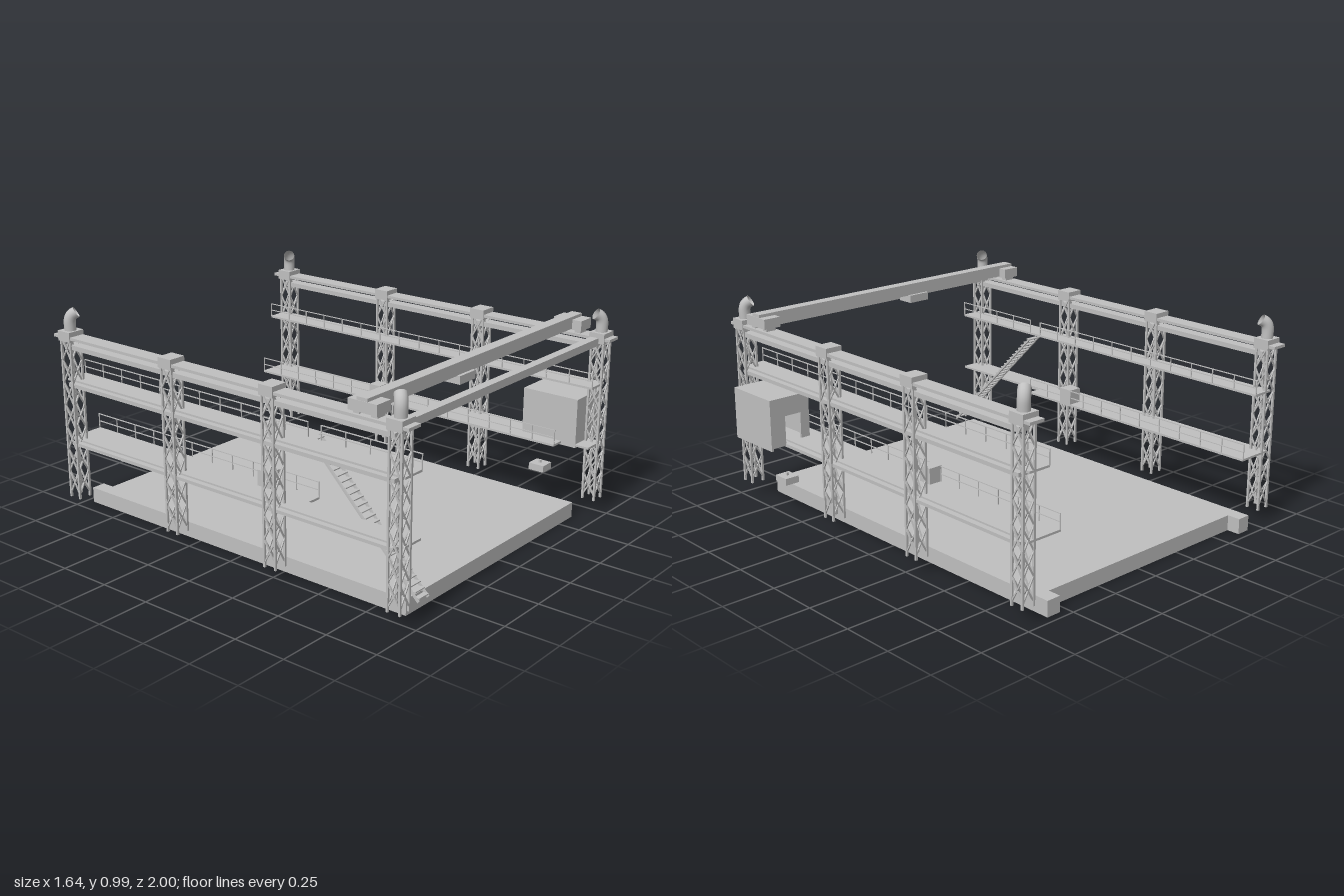
import * as THREE from 'three';

const steel = new THREE.MeshStandardMaterial({ color: 0xc0c0c0 });
steel.name = 'steel grey';
const steelOpen = steel.clone();
steelOpen.side = THREE.DoubleSide;

export function createModel() {
  const model = new THREE.Group();

  const group = (name, parent = model) => {
    const g = new THREE.Group();
    g.name = name;
    parent.add(g);
    return g;
  };
  // box given by its extents on each axis
  const box = (name, parent, x0, x1, y0, y1, z0, z1) => {
    const m = new THREE.Mesh(new THREE.BoxGeometry(Math.abs(x1 - x0), y1 - y0, Math.abs(z1 - z0)), steel);
    m.position.set((x0 + x1) / 2, (y0 + y1) / 2, (z0 + z1) / 2);
    m.name = name;
    parent.add(m);
    return m;
  };
  // square bar between two points
  const bar = (name, parent, a, b, t) => {
    const p = new THREE.Vector3(...a), q = new THREE.Vector3(...b);
    const m = new THREE.Mesh(new THREE.BoxGeometry(t, t, p.distanceTo(q)), steel);
    m.position.copy(p).add(q).multiplyScalar(0.5);
    m.lookAt(q);
    m.name = name;
    parent.add(m);
  };

  // floor slab with two blocks at the back corners
  const floor = group('floor');
  box('slab', floor, -0.677, 0.61, 0, 0.073, -0.9, 0.895);
  box('cornerBlock', floor, -0.677, -0.61, 0, 0.073, -0.963, -0.9);
  box('cornerBlock', floor, 0.54, 0.61, 0, 0.073, -0.963, -0.9);

  // lattice towers
  const towerX = [-0.782, 0.714];
  const towerZ = [0.935, 0.29, -0.285, -0.928];
  const Y0 = 0.075, Y1 = 0.85, PANELS = 7, H = 0.03;
  const buildTower = (cx, cz) => {
    const t = group('latticeTower');
    t.position.set(cx, 0, cz);
    const corners = [[-H, -H], [H, -H], [H, H], [-H, H]];
    corners.forEach(([x, z], i) => {
      box('leg', t, x - 0.005, x + 0.005, Y0, Y1, z - 0.005, z + 0.005);
      const [u, v] = corners[(i + 1) % 4];
      for (let k = 0; k < PANELS; k++) {
        const a = Y0 + 0.02 + (k * (Y1 - Y0 - 0.02)) / PANELS;
        const b = a + (Y1 - Y0 - 0.02) / PANELS;
        bar('brace', t, [x, a, z], [u, b, v], 0.006);
        bar('brace', t, [u, a, v], [x, b, z], 0.006);
      }
    });
    box('towerCap', t, -0.042, 0.042, 0.835, 0.882, -0.038, 0.038);
  };

  // ventilation cowl turned towards the middle
  const buildCowl = (cx, cz) => {
    const g = group('cowl');
    g.position.set(cx, 0, cz);
    const dx = -Math.sign(cx) * 0.75, dz = -Math.sign(cz) * 0.66;
    const path = new THREE.CatmullRomCurve3(
      [[0, 0.875], [0, 0.93], [0.01, 0.951], [0.03, 0.964]].map(([d, y]) => new THREE.Vector3(dx * d, y, dz * d)));
    const pipe = new THREE.Mesh(new THREE.TubeGeometry(path, 14, 0.027, 16), steelOpen);
    pipe.name = 'cowlPipe';
    g.add(pipe);
  };

  for (const x of towerX) {
    for (const z of towerZ) buildTower(x, z);
    for (const z of [towerZ[0], towerZ[3]]) buildCowl(x, z);
    // runway plate and long beams joining the towers
    box('runwayPlate', model, x - 0.038, x + 0.038, 0.847, 0.86, -1, 1);
    for (const [a, b] of [[0.8, 0.822], [0.62, 0.638], [0.337, 0.352]])
      box('longBeam', model, x - 0.028, x + 0.028, a, b, -0.93, 0.93);
  }

  // handrail along z, with evenly spaced posts
  const rail = (x, y, z0, z1, h) => {
    const g = group('handrail');
    for (const f of [0.5, 1])
      box('railBar', g, x - 0.002, x + 0.002, y + h * f - 0.004, y + h * f, z0, z1);
    const n = Math.round((z1 - z0) / 0.12);
    for (let i = 0; i <= n; i++) {
      const z = z0 + ((z1 - z0) * i) / n;
      box('railPost', g, x - 0.002, x + 0.002, y, y + h, z - 0.002, z + 0.002);
    }
  };

  // walkways
  const walks = group('walkways');
  box('upperDeck', walks, -0.785, -0.677, 0.637, 0.647, -0.963, 0.963);
  box('upperDeck', walks, 0.607, 0.716, 0.637, 0.647, -0.963, 0.963);
  rail(-0.679, 0.645, -0.963, 0.39, 0.068);
  rail(-0.679, 0.645, 0.46, 0.963, 0.068);
  rail(0.609, 0.645, -0.963, 0.963, 0.068);
  box('lowerDeck', walks, -0.785, -0.677, 0.35, 0.36, -0.963, 0.963);
  box('lowerDeck', walks, -0.677, -0.61, 0.35, 0.36, -0.963, 0.39);
  box('lowerDeck', walks, 0.607, 0.716, 0.35, 0.36, -0.963, 0.963);
  box('lowerDeck', walks, 0.542, 0.607, 0.35, 0.36, -0.963, 0.82);
  rail(-0.613, 0.36, -0.963, 0.39, 0.07);
  rail(0.545, 0.36, -0.963, 0.82, 0.07);

  // equipment boxes on the lower walkways
  box('equipmentBox', model, -0.678, -0.61, 0.36, 0.432, 0.105, 0.175);
  box('equipmentBox', model, 0.542, 0.607, 0.36, 0.432, -0.25, -0.185);

  // stair at 45 degrees
  const stair = group('stair');
  for (const x of [-0.674, -0.609])
    bar('stringer', stair, [x, 0.078, 0.955], [x, 0.64, 0.393], 0.009);
  for (let i = 0; i < 27; i++) {
    const f = (i + 0.5) / 27, z = 0.955 - 0.562 * f, y = 0.08 + 0.562 * f;
    box('tread', stair, -0.674, -0.609, y, y + 0.005, z - 0.01, z + 0.014);
  }

  // operator cabin: hollow shell with a doorway in its back wall
  const cabin = group('cabin');
  const [cx0, cx1, cy0, cy1, cz0, cz1, w] = [0.607, 0.82, 0.342, 0.575, 0.61, 0.895, 0.01];
  box('cabinFloor', cabin, cx0, cx1, cy0, cy0 + w, cz0, cz1);
  box('cabinRoof', cabin, cx0, cx1, cy1 - w, cy1, cz0, cz1);
  box('cabinSide', cabin, cx0, cx0 + w, cy0 + w, cy1 - w, cz0, cz1);
  box('cabinSide', cabin, cx1 - w, cx1, cy0 + w, cy1 - w, cz0, cz1);
  box('cabinFront', cabin, cx0 + w, cx1 - w, cy0 + w, cy1 - w, cz1 - w, cz1);
  const d0 = 0.655, d1 = 0.74, dTop = 0.485;
  box('cabinBack', cabin, cx0 + w, d0, cy0 + w, cy1 - w, cz0, cz0 + w);
  box('cabinBack', cabin, d1, cx1 - w, cy0 + w, cy1 - w, cz0, cz0 + w);
  box('cabinBack', cabin, d0, d1, dTop, cy1 - w, cz0, cz0 + w);
  box('cabinFoot', cabin, 0.81, 0.82, 0.33, cy0, cz0, cz1);

  // hanging block under the cabin
  const block = group('hangingBlock');
  box('blockBody', block, 0.68, 0.752, 0.147, 0.18, 0.61, 0.69);
  box('blockEye', block, 0.711, 0.721, 0.18, 0.195, 0.645, 0.655);

  // front cross beam
  box('crossBeam', model, -0.8, 0.73, 0.825, 0.86, 0.905, 0.945);

  // travelling crane
  const crane = group('crane');
  box('girder', crane, -0.823, 0.755, 0.88, 0.936, 0.755, 0.808);
  for (const x of towerX) {
    box('endTruck', crane, x - 0.043, x + 0.043, 0.875, 0.922, 0.713, 0.855);
    for (const z of [0.74, 0.828]) {
      box('wheelBox', crane, x - 0.025, x + 0.025, 0.858, 0.876, z - 0.015, z + 0.015);
    }
  }
  box('hoist', crane, -0.235, -0.122, 0.845, 0.882, 0.74, 0.823);

  return model;
}
